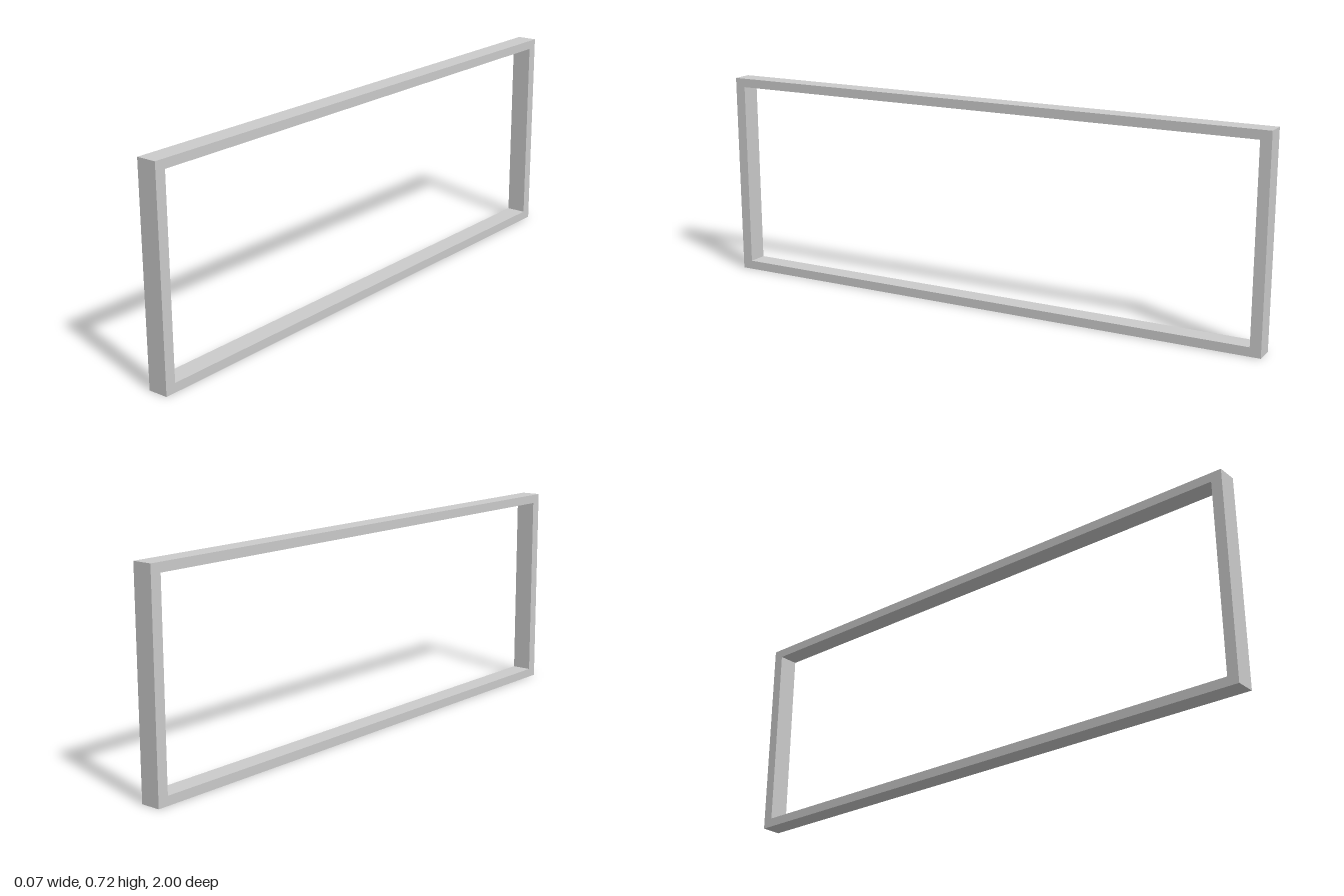
import * as THREE from 'three';

const LENGTH = 2, HEIGHT = 0.717, DEPTH = 0.07;
const POST = 0.037, RAIL = 0.031; // visible thickness of uprights and rails

// Traces a rectangle centred on x, from y0 to y1
function rectangle(path, width, y0, y1) {
  const h = width / 2;
  path.moveTo(-h, y0);
  path.lineTo(h, y0);
  path.lineTo(h, y1);
  path.lineTo(-h, y1);
  path.closePath();
  return path;
}

export function createModel() {
  const group = new THREE.Group();
  group.name = 'rectangularFrame';

  // One-piece frame: outer outline with a rectangular opening
  const outline = rectangle(new THREE.Shape(), LENGTH, 0, HEIGHT);
  outline.holes.push(rectangle(new THREE.Path(), LENGTH - 2 * POST, RAIL, HEIGHT - RAIL));

  const geometry = new THREE.ExtrudeGeometry(outline, { depth: DEPTH, bevelEnabled: false });
  geometry.translate(0, 0, -DEPTH / 2);
  geometry.rotateY(Math.PI / 2); // length runs along z

  const frame = new THREE.Mesh(geometry, new THREE.MeshStandardMaterial({ color: 0xcccccc }));
  frame.name = 'frame';
  group.add(frame);
  return group;
}
